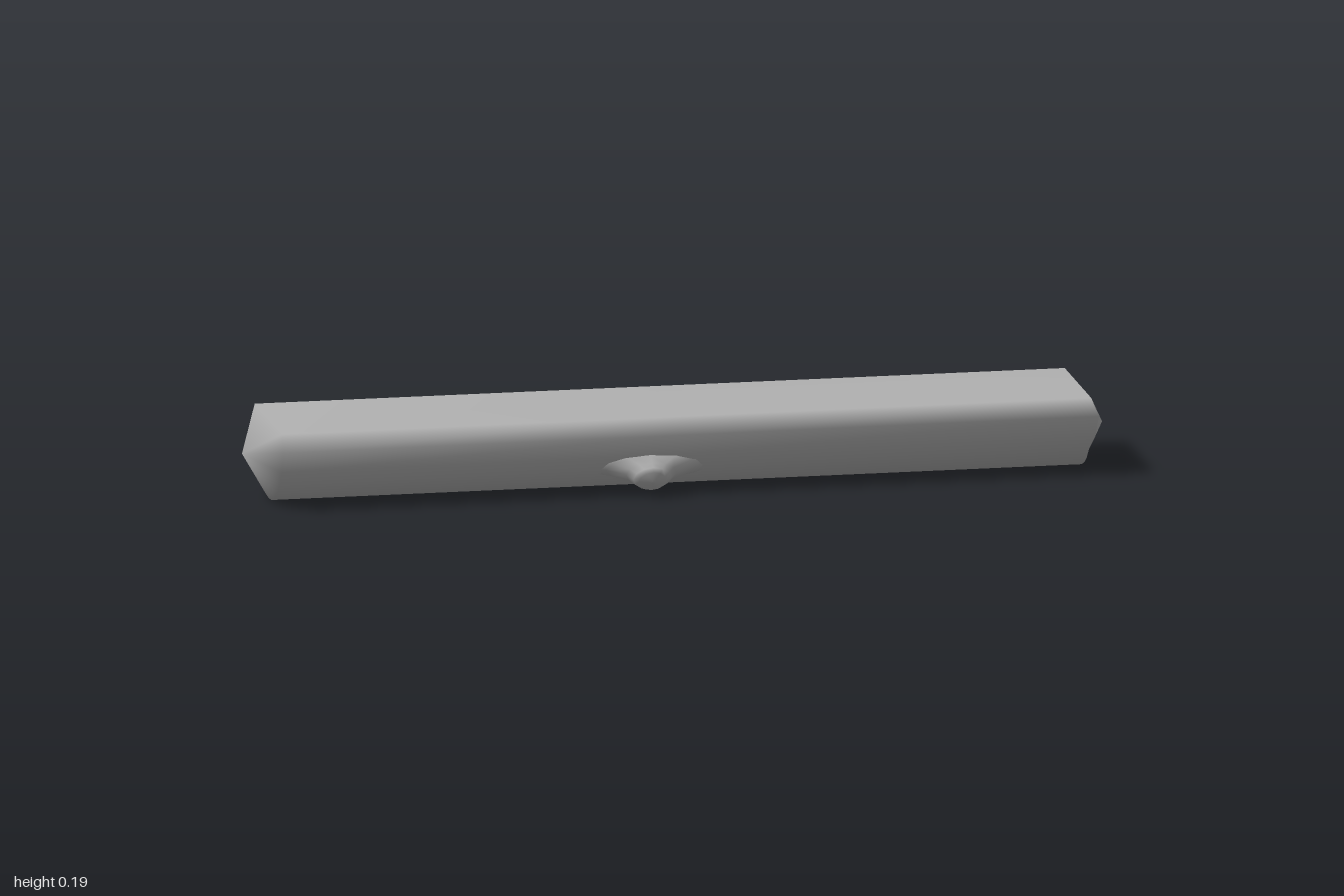
import * as THREE from 'three';

const bark = new THREE.MeshStandardMaterial({ color: 0xb0b0b0, side: THREE.DoubleSide });
bark.name = 'plain grey wood';

// Half-round section as [z, y], from the sharp back edge over the flat top and round the underside
const section = [
  [-0.163, 0.2], [0.157, 0.197], [0.167, 0.155], [0.15, 0.105], [0.128, 0.07], [0.1, 0.044],
  [0.07, 0.027], [0.035, 0.015], [0, 0.012], [-0.035, 0.015], [-0.07, 0.027], [-0.1, 0.045],
  [-0.128, 0.073], [-0.148, 0.105], [-0.159, 0.145], [-0.163, 0.2],
];
// The front side tapers slightly towards the +x end
const pointAt = (x, [z, y]) => [x, y, z > 0 ? z * (0.97 - 0.03 * x) : z];

function build(positions, index) {
  const geo = new THREE.BufferGeometry();
  geo.setAttribute('position', new THREE.Float32BufferAttribute(positions, 3));
  geo.setIndex(index);
  geo.computeVertexNormals();
  return geo;
}

function named(geo, name) {
  const mesh = new THREE.Mesh(geo, bark);
  mesh.name = name;
  return mesh;
}

// x of each rim point on the notched end
const notchX = (i) => ({ 2: 0.99, 3: 0.985 }[i] ?? 0.974);

// Long body with the pointed -x end joined smoothly
function bodyGeometry() {
  const pos = [], idx = [], n = section.length;
  for (const x of [-0.937, 0, null]) {
    section.forEach((p, i) => pos.push(...pointAt(x === null ? notchX(i) : x, p)));
  }
  for (let r = 0; r < 2; r++) {
    for (let i = 0; i < n - 1; i++) {
      const a = r * n + i, b = a + n;
      idx.push(a, a + 1, b, b, a + 1, b + 1);
    }
  }
  const apex = pos.length / 3;
  pos.push(-1, 0.12, 0);
  for (let i = 0; i < n - 1; i++) idx.push(apex, i + 1, i);
  return build(pos, idx);
}

// Shallow hollow end with a raised lip at the front
function notchedEndGeometry() {
  const pos = [], idx = [], n = section.length;
  section.forEach((p, i) => pos.push(...pointAt(notchX(i), p)));
  pos.push(0.958, 0.13, -0.01);
  for (let i = 0; i < n - 1; i++) idx.push(n, i, i + 1);
  // splinter on the front lip
  const s = pos.length / 3;
  pos.push(1, 0.14, 0.145);
  idx.push(s, 1, 2, s, 2, 3, s, 3, n, s, n, 1);
  return build(pos, idx);
}

// Cut branch stub: base flares along the grain, more to the tail side
function stub(name, { x, y, z, dirY, dirZ, length, rx, rz, flare, tail }) {
  const profile = [[1.25, 0], [1.12, 0.35], [0.98, 0.6], [1.0, 0.82], [0.8, 0.95], [0, 1]]
    .map(([r, h]) => new THREE.Vector2(r, h));
  const geo = new THREE.LatheGeometry(profile, 12);
  const p = geo.attributes.position;
  for (let i = 0; i < p.count; i++) {
    const spread = (1 - p.getY(i)) ** 2;
    const px = p.getX(i);
    p.setXYZ(i, px * rx * (1 + spread * (px < 0 ? tail : flare)),
      (p.getY(i) - 1) * length, p.getZ(i) * rz);
  }
  geo.computeVertexNormals();
  const mesh = named(geo, name);
  mesh.position.set(x, y, z);
  mesh.rotation.x = Math.atan2(dirZ, dirY);
  return mesh;
}

export function createModel() {
  const group = new THREE.Group();
  group.name = 'half log';
  group.add(
    named(bodyGeometry(), 'logBody'),
    named(notchedEndGeometry(), 'notchedEnd'),
    stub('frontStub', {
      x: -0.065, y: 0.048, z: 0.172, dirY: -0.5, dirZ: 0.86,
      length: 0.075, rx: 0.04, rz: 0.034, flare: 3.5, tail: 3,
    }),
    stub('largeBackStub', {
      x: 0.635, y: 0.052, z: -0.168, dirY: -0.5, dirZ: -0.86,
      length: 0.075, rx: 0.042, rz: 0.055, flare: 1.6, tail: 3.5,
    }),
    stub('smallBackStub', {
      x: -0.36, y: 0.098, z: -0.187, dirY: -0.25, dirZ: -0.97,
      length: 0.06, rx: 0.027, rz: 0.025, flare: 0.3, tail: 0.3,
    }),
  );
  return group;
}
